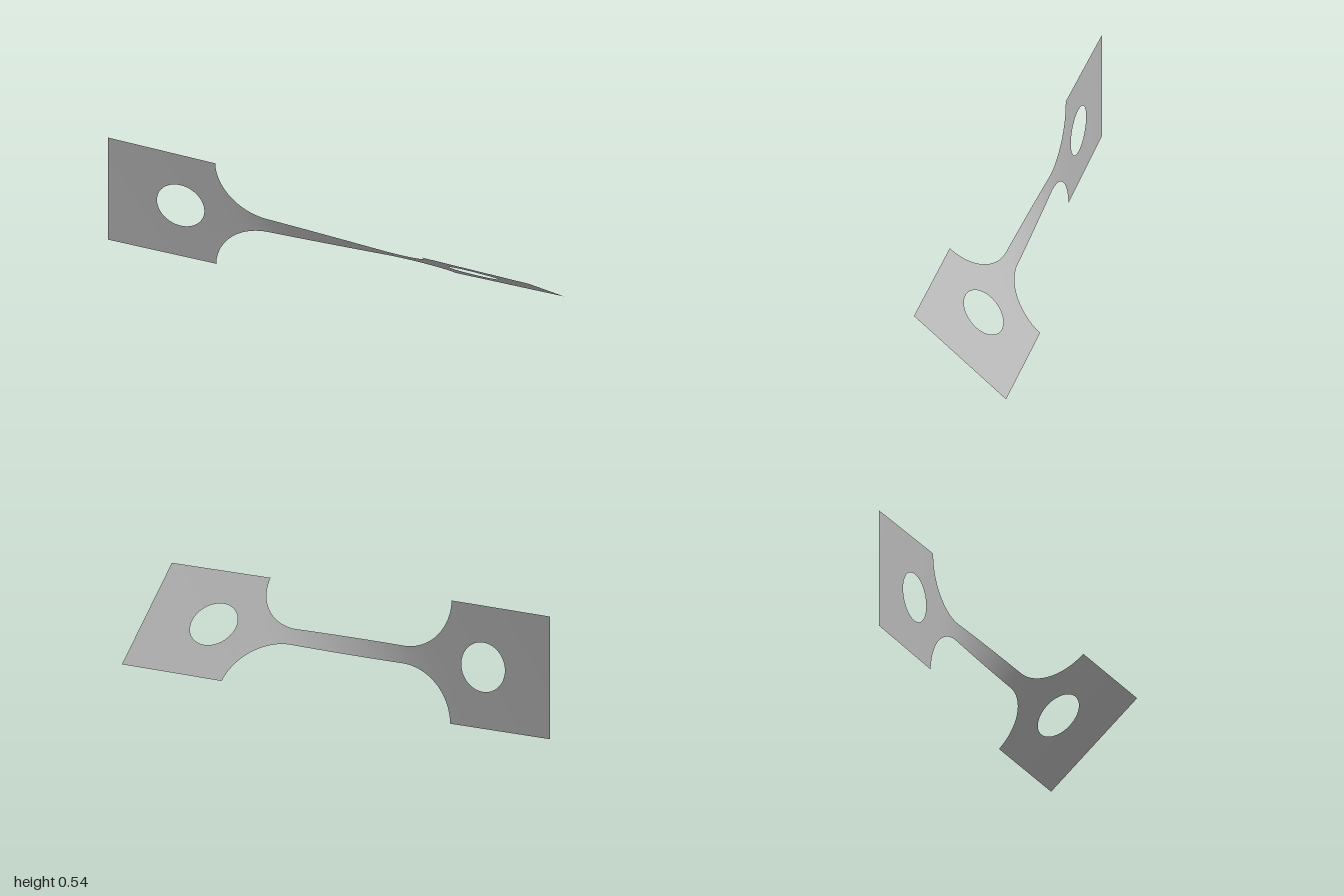
import * as THREE from 'three';
import { mergeVertices } from 'three/addons/utils/BufferGeometryUtils.js';

const TAB = 0.27;        // half width of the end tabs
const NECK = 0.038;      // half width of the middle strip
const FILLET = [0.27, 0.508]; // x range of the concave shoulders
const HOLE = { x: 0.668, r: 0.108 };
const TWIST = THREE.MathUtils.degToRad(49.5);

// Half width of the sheet at x
function halfWidth(x) {
  const a = Math.abs(x), dx = FILLET[1] - FILLET[0], dy = TAB - NECK;
  if (a <= FILLET[0]) return NECK;
  if (a >= FILLET[1]) return TAB;
  const r = (dx * dx + dy * dy) / (2 * dy);
  return NECK + r - Math.sqrt(Math.max(0, r * r - (a - FILLET[0]) ** 2));
}

// Half height of the round hole at x
function holeEdge(x) {
  const d = Math.abs(x) - HOLE.x;
  return Math.sqrt(Math.max(0, HOLE.r ** 2 - d * d));
}

// Twist gathers where the sheet is narrow
const STEPS = 2000;
const twistSums = [0];
for (let i = 0; i < STEPS; i++) {
  twistSums.push(twistSums[i] + halfWidth(-1 + (2 * (i + 0.5)) / STEPS) ** -1.6);
}
function twistAt(x) {
  const f = ((x + 1) / 2) * STEPS;
  const i = Math.min(STEPS - 1, Math.floor(f));
  return (TWIST * THREE.MathUtils.lerp(twistSums[i], twistSums[i + 1], f - i)) / twistSums[STEPS];
}

// Columns along x, closer together at holes and shoulders
function columns() {
  const half = [FILLET[0], FILLET[1], HOLE.x - HOLE.r, HOLE.x + HOLE.r, 1];
  const stops = [...half.map((x) => -x).reverse(), ...half];
  const xs = [stops[0]];
  for (let k = 1; k < stops.length; k++) {
    for (let j = 1; j <= 32; j++) {
      const t = (1 - Math.cos((Math.PI * j) / 32)) / 2;
      xs.push(THREE.MathUtils.lerp(stops[k - 1], stops[k], t));
    }
  }
  return xs;
}

// Twisted sheet: an upper and a lower band meeting on the axis, parted by the holes
function sheetGeometry() {
  const xs = columns(), rows = 8, positions = [], index = [];
  for (const side of [1, -1]) {
    const start = positions.length / 3;
    xs.forEach((x, i) => {
      const angle = twistAt(x);
      for (let j = 0; j <= rows; j++) {
        const v = side * THREE.MathUtils.lerp(holeEdge(x), halfWidth(x), j / rows);
        positions.push(x, v * Math.cos(angle), v * Math.sin(angle));
        if (i === 0 || j === 0) continue;
        const d = start + i * (rows + 1) + j, c = d - 1;
        const b = d - rows - 1, a = b - 1;
        if (side > 0) index.push(a, c, d, a, d, b);
        else index.push(a, d, c, a, b, d);
      }
    });
  }
  const geometry = new THREE.BufferGeometry();
  geometry.setAttribute('position', new THREE.Float32BufferAttribute(positions, 3));
  geometry.setIndex(index);
  const merged = mergeVertices(geometry, 1e-6);
  merged.computeVertexNormals();
  return merged;
}

export function createModel() {
  const group = new THREE.Group();
  group.name = 'twistedTestStrip';

  const metal = new THREE.MeshStandardMaterial({ color: 0xb4b4b4, side: THREE.DoubleSide });
  metal.name = 'grey metal';

  const sheet = new THREE.Mesh(sheetGeometry(), metal);
  sheet.name = 'twistedSheet';
  sheet.position.y = TAB;
  group.add(sheet);
  return group;
}
